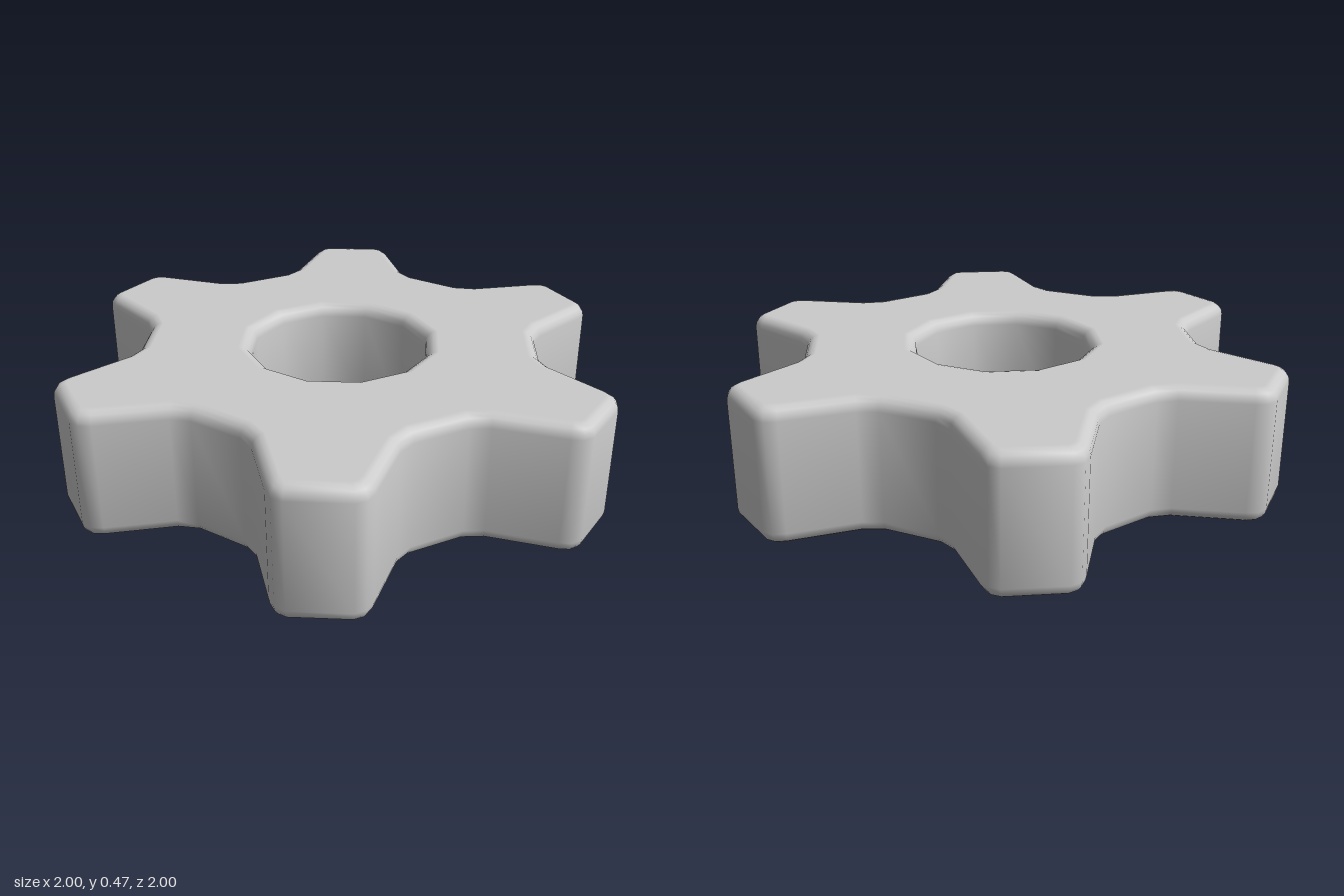
import * as THREE from 'three';
import { toCreasedNormals } from 'three/addons/utils/BufferGeometryUtils.js';

const HEIGHT = 0.473;
const BEVEL = 0.045;
const TEETH = 6;
const TILT = Math.PI / 12;

// Half of one tooth: distance along its axis, distance to the side
const HALF_TOOTH = [[0.662, 0.268], [0.72, 0.226], [0.952, 0.158], [0.99, 0.138], [1.008, 0.102]];

function gearOutline() {
  const tooth = [
    ...HALF_TOOTH.map(([u, v]) => [u, -v]),
    ...HALF_TOOTH.slice().reverse(),
  ];
  const points = [];
  for (let i = 0; i < TEETH; i++) {
    const angle = TILT + (i / TEETH) * Math.PI * 2;
    for (const [u, v] of tooth) {
      points.push(new THREE.Vector2(u, v).rotateAround(new THREE.Vector2(), angle));
    }
  }
  return new THREE.Shape(points);
}

// Twelve-sided bore
function boreOutline(radius, sides) {
  const points = [];
  for (let i = 0; i < sides; i++) {
    const a = (-i / sides) * Math.PI * 2;
    points.push(new THREE.Vector2(radius * Math.cos(a), radius * Math.sin(a)));
  }
  return new THREE.Path(points);
}

export function createModel() {
  const shape = gearOutline();
  shape.holes.push(boreOutline(0.32, 12));

  // Rounded rims, laid flat on the ground
  let geometry = new THREE.ExtrudeGeometry(shape, {
    depth: HEIGHT - 2 * BEVEL,
    bevelEnabled: true,
    bevelThickness: BEVEL,
    bevelSize: BEVEL,
    bevelOffset: -BEVEL,
    bevelSegments: 4,
  });
  geometry.rotateX(Math.PI / 2);
  geometry.translate(0, HEIGHT - BEVEL, 0);
  geometry = toCreasedNormals(geometry, THREE.MathUtils.degToRad(50));

  // Flat shading across the top and bottom faces
  const { position, normal } = geometry.attributes;
  for (let i = 0; i < position.count; i++) {
    const y = position.getY(i);
    if (y > HEIGHT - 1e-4) normal.setXYZ(i, 0, 1, 0);
    else if (y < 1e-4) normal.setXYZ(i, 0, -1, 0);
  }

  const gear = new THREE.Mesh(geometry, new THREE.MeshStandardMaterial({ color: 0xcccccc }));
  gear.name = 'gearWheel';

  const group = new THREE.Group();
  group.name = 'gear';
  group.add(gear);
  return group;
}
